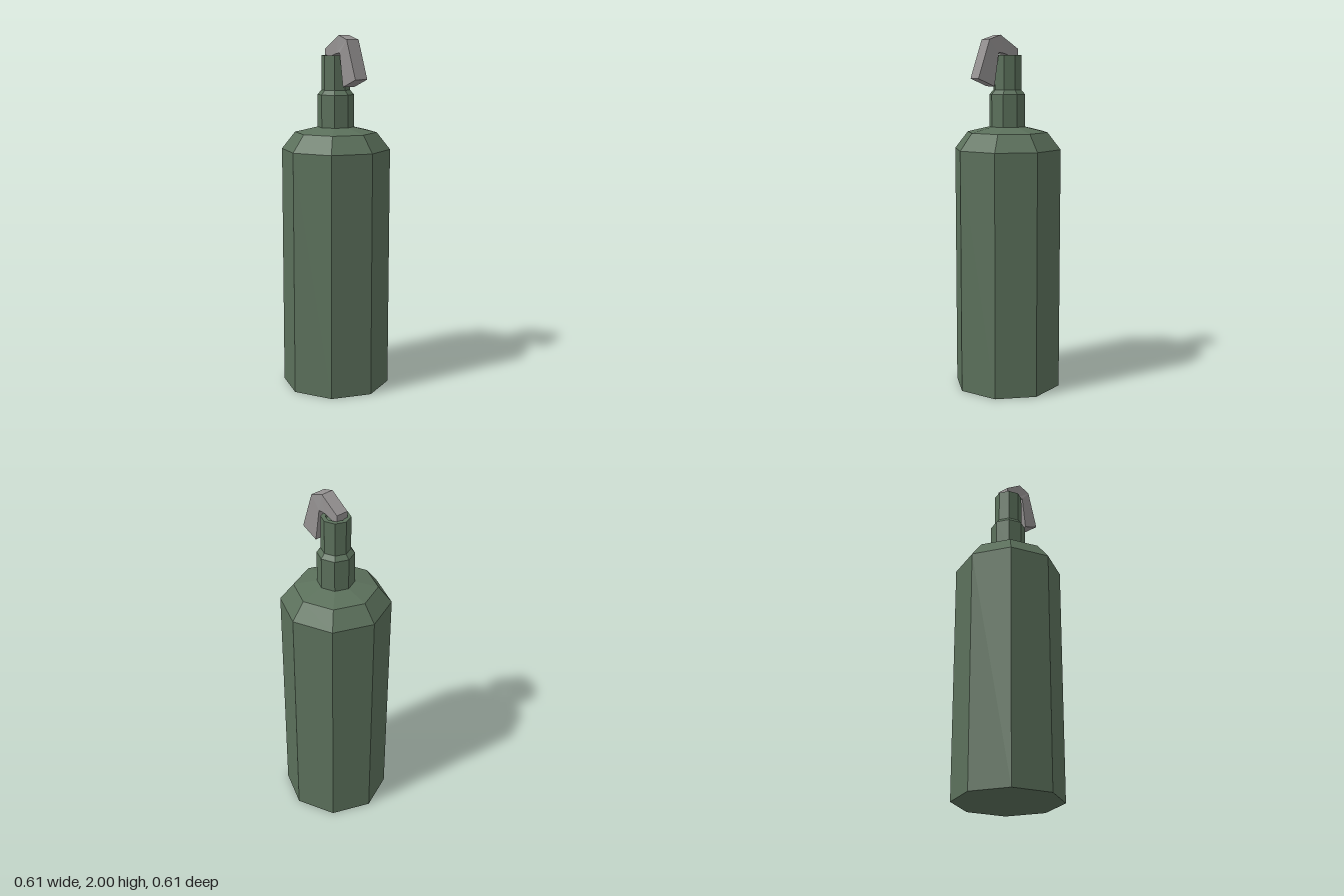
import * as THREE from 'three';

const green = new THREE.MeshStandardMaterial({ color: 0x5b705b, flatShading: true });
green.name = 'olive green';
const grey = new THREE.MeshStandardMaterial({ color: 0x959292, flatShading: true });
grey.name = 'metal grey';

// Eight-sided turned part from [radius, height] points, bottom to top
function turned(name, points) {
  const profile = points.map(([r, y]) => new THREE.Vector2(r, y));
  const mesh = new THREE.Mesh(new THREE.LatheGeometry(profile, 8), green);
  mesh.name = name;
  return mesh;
}

// Bent bar from cross-sections: outer edge, inner edge, half width
function bentBar(sections) {
  const positions = [];
  const index = [];
  for (const [ox, oy, ix, iy, w] of sections) {
    positions.push(ox, oy, w, ox, oy, -w, ix, iy, -w, ix, iy, w);
  }
  for (let i = 0; i < sections.length - 1; i++) {
    for (let j = 0; j < 4; j++) {
      const k = (j + 1) % 4;
      const a = i * 4 + j, b = a + 4, c = (i + 1) * 4 + k, d = i * 4 + k;
      index.push(a, b, c, a, c, d);
    }
  }
  const e = (sections.length - 1) * 4;
  index.push(0, 1, 2, 0, 2, 3, e, e + 2, e + 1, e, e + 3, e + 2);
  const geometry = new THREE.BufferGeometry();
  geometry.setAttribute('position', new THREE.Float32BufferAttribute(positions, 3));
  geometry.setIndex(index);
  geometry.computeVertexNormals();
  return geometry;
}

export function createModel() {
  const group = new THREE.Group();
  group.name = 'canister';

  // Tall body with chamfered shoulder
  group.add(turned('body', [[0, 0], [0.305, 0], [0.305, 1.37], [0.23, 1.465], [0.102, 1.495]]));

  // Collar and narrow neck, with a shallow recess in the top
  group.add(turned('collar', [[0.102, 1.495], [0.102, 1.675], [0.08, 1.7]]));
  group.add(turned('neck', [[0.08, 1.7], [0.08, 1.89], [0.055, 1.89], [0.055, 1.87], [0, 1.87]]));

  // Lever rising from the neck and hooking down on one side
  const lever = new THREE.Mesh(bentBar([
    [-0.048, 1.925, -0.048, 1.87, 0.036],
    [0.066, 2.0, 0.045, 1.9, 0.036],
    [0.14, 1.975, 0.082, 1.905, 0.043],
    [0.212, 1.763, 0.11, 1.72, 0.043],
  ]), grey);
  lever.name = 'lever';
  group.add(lever);

  return group;
}
